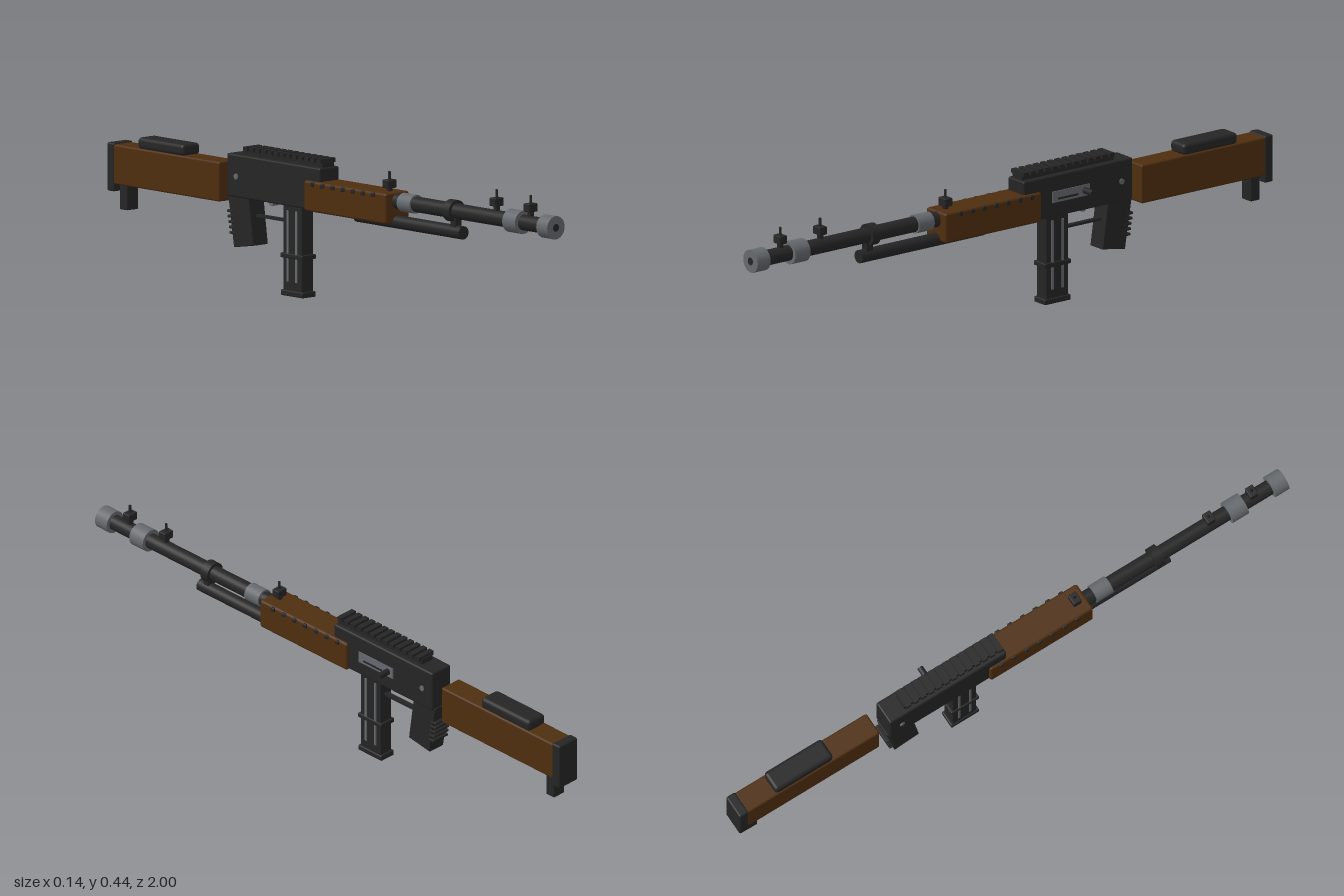
import * as THREE from 'three';
import { RoundedBoxGeometry } from 'three/addons/geometries/RoundedBoxGeometry.js';

const mat = (name, color) => {
  const m = new THREE.MeshStandardMaterial({ color });
  m.name = name;
  return m;
};

export function createModel() {
  const black = mat('blackMetal', 0x252526);
  const steel = mat('steel', 0x65696d);
  const wood = mat('wood', 0x4e2e0f);

  const model = new THREE.Group();
  model.name = 'rifle';
  // everything is symmetric about the bore line, which sits a little off centre
  const body = new THREE.Group();
  body.name = 'body';
  body.position.x = -0.017;
  model.add(body);

  const add = (name, geo, material, x = 0, y = 0, z = 0) => {
    const m = new THREE.Mesh(geo, material);
    m.name = name;
    m.position.set(x, y, z);
    body.add(m);
    return m;
  };
  // box given by width and its y and z ranges; r rounds the edges
  const box = (name, material, w, y0, y1, z0, z1, r = 0, x = 0) => {
    const h = y1 - y0, d = z1 - z0;
    const geo = r ? new RoundedBoxGeometry(w, h, d, 2, r) : new THREE.BoxGeometry(w, h, d);
    return add(name, geo, material, x, (y0 + y1) / 2, (z0 + z1) / 2);
  };
  // cylinder lying along z
  const rod = (name, material, r, y, z0, z1) =>
    add(name, new THREE.CylinderGeometry(r, r, z1 - z0, 32).rotateX(Math.PI / 2), material, 0, y, (z0 + z1) / 2);
  // cylinder lying along x
  const pin = (name, material, r, x0, x1, y, z) =>
    add(name, new THREE.CylinderGeometry(r, r, x1 - x0, 16).rotateZ(Math.PI / 2), material, (x0 + x1) / 2, y, z);

  // barrel with steel collars and muzzle
  const bore = 0.345;
  rod('barrel', black, 0.024, bore, -0.03, 0.96);
  rod('muzzle', steel, 0.036, bore, 0.95, 1.0);
  rod('boreHole', black, 0.012, bore, 0.99, 1.001);
  rod('frontCollar', steel, 0.036, bore, 0.795, 0.853);
  rod('rearCollar', steel, 0.029, bore, 0.307, 0.366);

  // gas tube hung from the barrel
  rod('gasTube', black, 0.0205, 0.281, 0.1, 0.58);
  rod('barrelBand', black, 0.034, bore, 0.52, 0.55);
  box('gasBlock', black, 0.026, 0.281, 0.33, 0.535, 0.557);

  // three post sights
  for (const z of [0.885, 0.73, 0.243]) {
    box('sightFoot', black, 0.014, 0.36, 0.39, z - 0.007, z + 0.007);
    box('sightBase', black, 0.036, 0.382, 0.408, z - 0.014, z + 0.014, 0.003);
    add('sightPost', new THREE.CylinderGeometry(0.004, 0.004, 0.03, 10), black, 0, 0.418, z);
  }

  // wooden handguard with cross ribs
  box('handguard', wood, 0.098, 0.277, 0.372, -0.094, 0.28, 0.008);
  for (let i = 0; i < 7; i++) {
    const z = 0.222 - i * 0.046;
    box('handguardRib', black, 0.106, 0.356, 0.37, z - 0.008, z + 0.008, 0.003);
  }

  // receiver
  box('receiver', black, 0.08, 0.281, 0.414, -0.454, -0.03, 0.006);
  box('topRail', black, 0.047, 0.41, 0.432, -0.392, -0.035);
  for (let i = 0; i < 13; i++) {
    const z = -0.046 - i * 0.0278;
    box('railTooth', black, 0.063, 0.427, 0.44, z - 0.009, z + 0.009);
  }

  // ejection port, bolt and charging handle on the left side
  box('ejectionPort', steel, 0.005, 0.327, 0.363, -0.286, -0.14, 0, 0.04);
  box('boltSlot', black, 0.003, 0.335, 0.341, -0.24, -0.16, 0, 0.0425);
  pin('chargingHandle', black, 0.01, 0.035, 0.084, bore, -0.265);
  pin('receiverPin', steel, 0.009, -0.043, 0.043, 0.346, -0.41);

  // magazine with band, foot and bright side ribs
  box('magazine', black, 0.047, 0.005, 0.29, -0.216, -0.13, 0.003);
  box('magazineFoot', black, 0.056, 0, 0.018, -0.223, -0.122, 0.004);
  box('magazineBand', black, 0.057, 0.117, 0.132, -0.223, -0.122, 0.003);
  for (const s of [-1, 1]) {
    for (const z of [-0.153, -0.193]) {
      box('magazineRib', steel, 0.004, 0.045, 0.265, z - 0.004, z + 0.004, 0, s * 0.0245);
    }
  }

  // trigger and guard
  box('triggerGuard', black, 0.016, 0.224, 0.232, -0.36, -0.21);
  pin('trigger', steel, 0.011, -0.012, 0.012, 0.277, -0.283);

  // raked pistol grip, drawn in side profile and extruded across
  const side = new THREE.Shape([
    new THREE.Vector2(-0.366, 0.29), new THREE.Vector2(-0.345, 0.14),
    new THREE.Vector2(-0.43, 0.126), new THREE.Vector2(-0.456, 0.285),
  ]);
  const gripGeo = new THREE.ExtrudeGeometry(side, { depth: 0.056, bevelEnabled: true, bevelThickness: 0.003, bevelSize: 0.002, bevelSegments: 1 });
  gripGeo.translate(0, 0, -0.028).rotateY(-Math.PI / 2);
  gripGeo.computeVertexNormals();
  add('grip', gripGeo, black);
  for (let i = 0; i < 5; i++) {
    const y = 0.168 + i * 0.0165, z = -0.437 - i * 0.0027;
    box('gripRidge', black, 0.064, y - 0.004, y + 0.004, z - 0.014, z + 0.01, 0.002);
  }

  // wooden stock with cheek pad, butt plate and rear leg
  box('stock', wood, 0.077, 0.258, 0.381, -0.972, -0.49, 0.006);
  box('cheekPad', black, 0.072, 0.378, 0.415, -0.866, -0.656, 0.012);
  box('buttPlate', black, 0.08, 0.235, 0.385, -1, -0.967, 0.006);
  box('rearLeg', black, 0.046, 0.18, 0.265, -0.96, -0.925, 0.003);

  return model;
}
